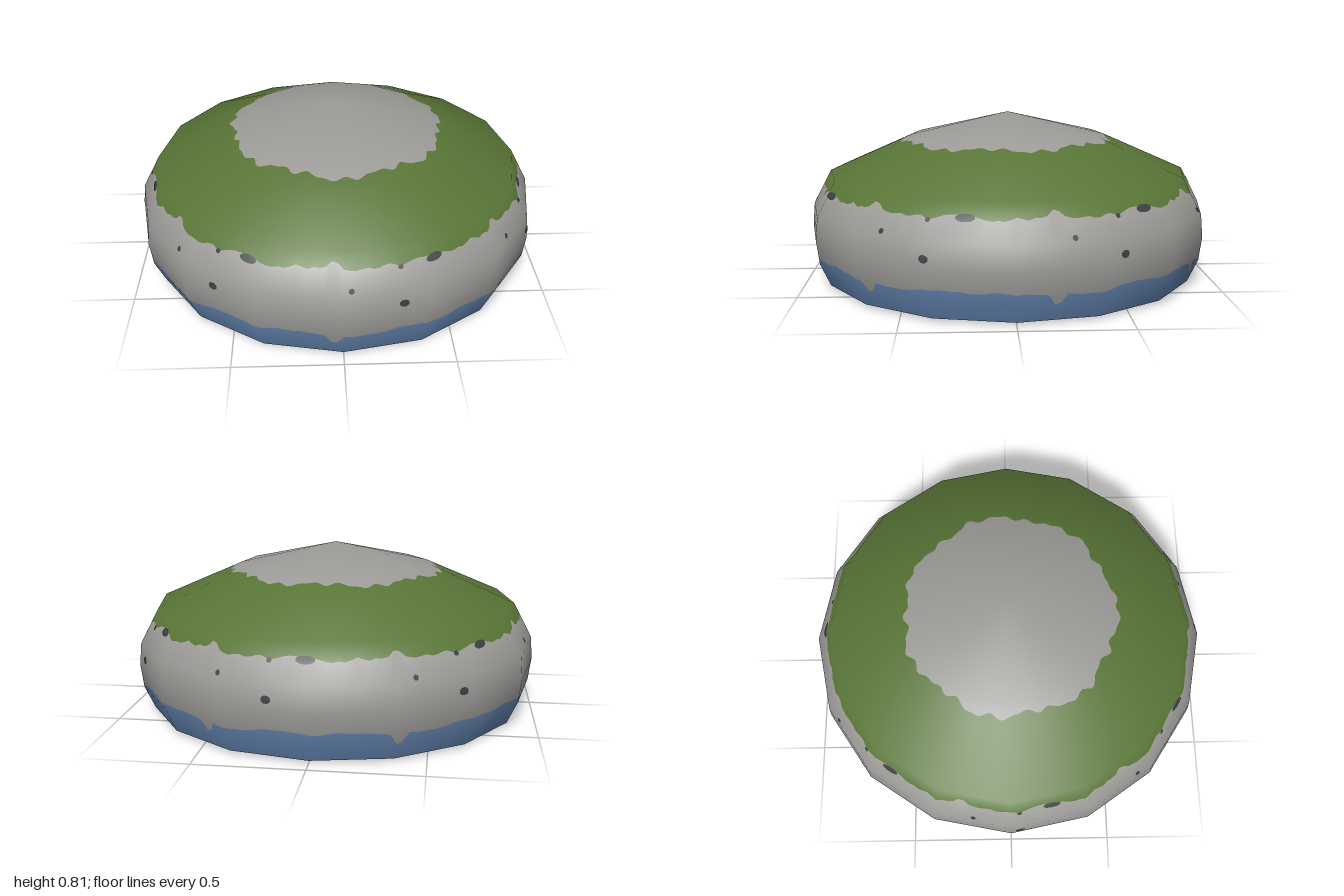
import * as THREE from 'three';

const paint = (name, color) => {
  const m = new THREE.MeshStandardMaterial({ color, side: THREE.DoubleSide });
  m.name = name;
  return m;
};
const rock = paint('grey rock', 0x9c9b98);
const grass = paint('grass green', 0x587536);
const water = paint('water blue', 0x6384b0);
const dark = paint('dark stone', 0x3b3f41);
const violet = paint('violet masonry', 0x625dae);

// Dome outline as [radius, height]
const profile = [[0.935, 0.015], [0.985, 0.125], [1, 0.24], [0.99, 0.35], [0.9, 0.52], [0.49, 0.7], [0, 0.815]];
const slopes = profile.map((p, i) => {
  const a = profile[Math.max(i - 1, 0)], b = profile[Math.min(i + 1, profile.length - 1)];
  return i === profile.length - 1 ? [0, 1] : new THREE.Vector2(b[1] - a[1], a[0] - b[0]).normalize().toArray();
});
const SIDES = 16, REPEATS = 7, STEPS = 32, TOTAL = REPEATS * STEPS;

// Position and normal on the sixteen-sided dome, at angular step k and height y
function domePoint(k, y, push) {
  const theta = (k / TOTAL) * Math.PI * 2, facet = (Math.PI * 2) / SIDES;
  const phi = theta - (Math.floor(theta / facet + 1e-6) + 0.5) * facet;
  let i = 0;
  while (i < profile.length - 2 && y > profile[i + 1][1]) i++;
  const t = (y - profile[i][1]) / (profile[i + 1][1] - profile[i][1]);
  const r = THREE.MathUtils.lerp(profile[i][0], profile[i + 1][0], t) * Math.cos(facet / 2) / Math.cos(phi);
  const nr = THREE.MathUtils.lerp(slopes[i][0], slopes[i + 1][0], t);
  const ny = THREE.MathUtils.lerp(slopes[i][1], slopes[i + 1][1], t);
  const n = new THREE.Vector3(Math.sin(theta) * nr, ny, Math.cos(theta) * nr).normalize();
  const p = new THREE.Vector3(Math.sin(theta) * r, y, Math.cos(theta) * r).addScaledVector(n, push);
  return { p, n };
}

// Strip of dome between two height functions of k
function domeStrip(name, material, lo, hi, k0 = 0, k1 = TOTAL, count = TOTAL, push = 0) {
  const pos = [], nor = [], index = [], rows = profile.length + 2;
  for (let s = 0; s <= count; s++) {
    const k = k0 + ((k1 - k0) * s) / count, a = lo(k), b = hi(k);
    for (const y of [a, ...profile.map(q => THREE.MathUtils.clamp(q[1], a, b)), b]) {
      const { p, n } = domePoint(k, y, push);
      pos.push(...p.toArray());
      nor.push(...n.toArray());
    }
    if (s === count) break;
    for (let j = 0; j < rows - 1; j++) {
      const v = s * rows + j;
      index.push(v, v + rows, v + rows + 1, v, v + rows + 1, v + 1);
    }
  }
  const g = new THREE.BufferGeometry();
  g.setAttribute('position', new THREE.Float32BufferAttribute(pos, 3));
  g.setAttribute('normal', new THREE.Float32BufferAttribute(nor, 3));
  g.setIndex(index);
  const mesh = new THREE.Mesh(g, material);
  mesh.name = name;
  return mesh;
}

// Ragged edges in thousandths of a unit, repeating seven times around
const shore = [145, 140, 137, 137, 138, 137, 140, 142, 150, 155, 156, 155, 157, 156, 154, 155,
  150, 146, 147, 150, 155, 157, 155, 152, 150, 153, 150, 148, 146, 140, 93, 103];
const meadow = [462, 455, 452, 455, 458, 450, 452, 460, 462, 452, 450, 458, 466, 470, 470, 468,
  462, 464, 458, 450, 447, 452, 448, 455, 466, 458, 452, 462, 460, 466, 490, 484];
const edge = list => k => list[((Math.round(k) % STEPS) + STEPS) % STEPS] / 1000;
const peakEdge = k => {
  const a = (k / TOTAL) * Math.PI * 2;
  return 0.685 - 0.006 * Math.cos(7 * a) + 0.004 * Math.sin(21 * a + 1) + 0.003 * Math.sin(35 * a) - 0.004 * Math.cos(a);
};

// Box with an open underside, standing on y
function hollowBox(name, material, w, h, d, x, y, z) {
  const g = new THREE.BoxGeometry(w, h, d);
  g.setIndex([...g.index.array].filter((_, i) => i < 18 || i >= 24));
  const mesh = new THREE.Mesh(g, material);
  mesh.name = name;
  mesh.position.set(x, y + h / 2, z);
  return mesh;
}

function cylinder(name, material, r0, r1, h, x, y, z, sides = 12, open = false) {
  const mesh = new THREE.Mesh(new THREE.CylinderGeometry(r1, r0, h, sides, 1, open), material);
  mesh.name = name;
  mesh.position.set(x, y + h / 2, z);
  return mesh;
}

function createDome() {
  const dome = new THREE.Group();
  dome.name = 'hollowHill';
  const shoreLine = edge(shore), meadowLine = edge(meadow);
  dome.add(
    domeStrip('waterBand', water, () => 0.015, shoreLine),
    domeStrip('cliffBand', rock, shoreLine, meadowLine),
    domeStrip('grassBand', grass, meadowLine, peakEdge),
    domeStrip('rockyPeak', rock, peakEdge, () => 0.815)
  );
  // Dark stones: step, height, width in steps, full height
  const stones = [[15.6, 0.457, 3.2, 0.032], [9.5, 0.445, 0.9, 0.02], [9.6, 0.29, 1.6, 0.034], [1.1, 0.377, 0.9, 0.022]];
  for (let i = 0; i < REPEATS; i++) {
    for (const [k, y, w, h] of stones) {
      const c = k + i * STEPS;
      const half = s => (h / 2) * (1 - 0.7 * Math.pow(Math.abs(s - c) / (w / 2), 3));
      for (const push of [0.003, -0.003]) {
        dome.add(domeStrip('darkStone', dark, s => y - half(s), s => y + half(s), c - w / 2, c + w / 2, 6, push));
      }
    }
  }
  return dome;
}

function createFort() {
  const fort = new THREE.Group();
  fort.name = 'fort';
  const base = 0.02, cx = 0.01, cz = -0.03, half = 0.235;
  // Curtain walls in panels
  for (const s of [-1, 1]) {
    for (let i = 0; i < 4; i++) {
      const o = (i - 1.5) * (half / 2), len = half / 2 - 0.003;
      fort.add(hollowBox('curtainWall', dark, len, 0.05, 0.012, cx + o, base, cz + s * half));
      fort.add(hollowBox('curtainWall', dark, 0.012, 0.05, len, cx + s * half, base, cz + o));
    }
  }
  // Corner turrets
  for (const [sx, sz, h] of [[1, -1, 0.15], [-1, -1, 0.13], [-1, 1, 0.08]]) {
    const x = cx + sx * half, z = cz + sz * half;
    fort.add(cylinder('turret', violet, 0.016, 0.016, h, x, base, z, 8));
    fort.add(cylinder('turretTop', violet, 0.016, 0.022, 0.025, x, base + h - 0.025, z, 8));
  }
  // Courtyard buildings
  fort.add(hollowBox('longHall', violet, 0.2, 0.05, 0.08, -0.045, base, -0.14));
  fort.add(hollowBox('smallHouse', violet, 0.05, 0.04, 0.05, 0.17, base, -0.14));
  fort.add(hollowBox('storeHouse', violet, 0.07, 0.05, 0.09, -0.13, base, 0.13));
  // Sloping buttress between yard and keep
  const wedge = new THREE.Shape([[0, 0], [0.12, 0], [0, 0.08]].map(p => new THREE.Vector2(...p)));
  const ramp = new THREE.Mesh(new THREE.ExtrudeGeometry(wedge, { depth: 0.03, bevelEnabled: false }), violet);
  ramp.name = 'ramp';
  ramp.rotation.y = Math.PI * 0.8;
  ramp.position.set(0.21, base, 0.15);
  fort.add(ramp);

  // Round keep
  const keep = new THREE.Group();
  keep.name = 'keep';
  keep.position.set(0.29, 0, 0.2);
  keep.add(cylinder('footing', dark, 0.04, 0.04, 0.02, 0, 0, 0, 12));
  keep.add(cylinder('keepFloor', dark, 0.1, 0.1, 0.01, 0, 0.017, 0, 16));
  keep.add(cylinder('keepWall', violet, 0.1, 0.09, 0.08, 0, 0.022, 0, 16));
  keep.add(cylinder('keepUpper', violet, 0.06, 0.055, 0.05, 0, 0.1, 0, 12));
  for (let i = 0; i < 12; i++) {
    const a = (i / 12) * Math.PI * 2;
    const merlon = hollowBox('merlon', violet, 0.025, 0.025, 0.015, Math.sin(a) * 0.088, 0.1, Math.cos(a) * 0.088);
    merlon.rotation.y = a;
    keep.add(merlon);
    if (i % 3 === 0) keep.add(cylinder('keepTurret', violet, 0.016, 0.016, 0.12, Math.sin(a + 0.785) * 0.105, 0.02, Math.cos(a + 0.785) * 0.105, 8));
  }
  fort.add(keep);
  return fort;
}

export function createModel() {
  const model = new THREE.Group();
  model.name = 'hillWithHiddenFort';
  model.add(createDome(), createFort());
  return model;
}
